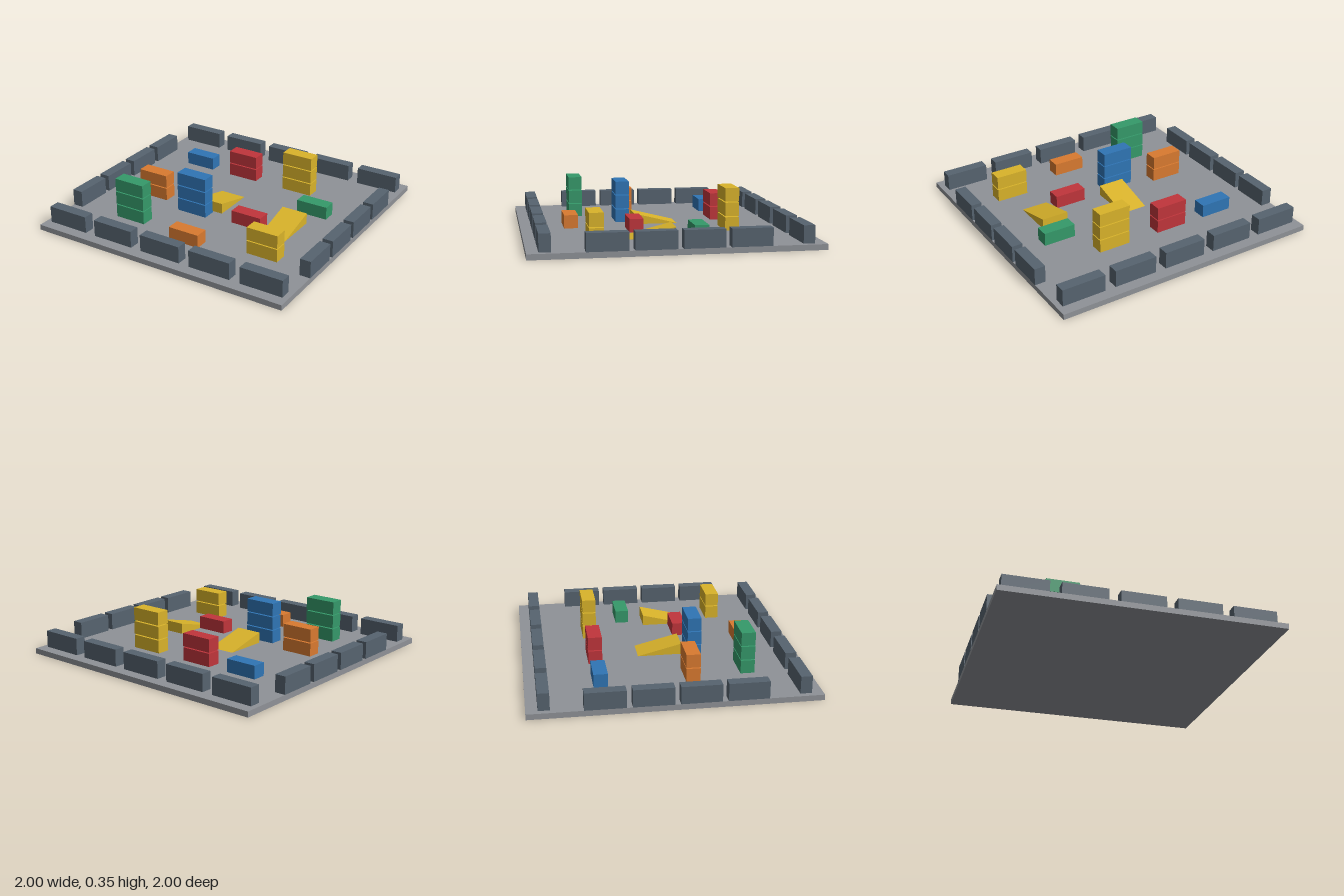
import * as THREE from 'three';

const FLOOR = 0.04;
const material = (color) => new THREE.MeshStandardMaterial({ color, flatShading: true });
const mats = {
  floor: material(0x8f9297),
  wall: material(0x56636f),
  blue: material(0x2f75b5),
  red: material(0xc0353b),
  yellow: material(0xd9b32a),
  green: material(0x35996a),
  orange: material(0xd97a30),
};

export function createModel() {
  const model = new THREE.Group();
  model.name = 'arena';

  const add = (name, geometry, mat, x, y, z, parent = model) => {
    const mesh = new THREE.Mesh(geometry, mat);
    mesh.name = name;
    mesh.position.set(x, y, z);
    parent.add(mesh);
    return mesh;
  };

  // Floor slab
  add('floor', new THREE.BoxGeometry(2, FLOOR, 2), mats.floor, 0, FLOOR / 2, 0);

  // Barriers around the four sides
  const wallHeight = 0.124;
  const wallY = FLOOR + wallHeight / 2;
  const longWall = new THREE.BoxGeometry(0.32, wallHeight, 0.08);
  const sideWall = new THREE.BoxGeometry(0.08, wallHeight, 0.28);
  for (const side of [-1, 1]) {
    for (const x of [-0.8, -0.4, 0, 0.4, 0.8]) {
      add(side > 0 ? 'frontBarrier' : 'backBarrier', longWall, mats.wall, x, wallY, side * 0.88);
    }
    for (const z of [-0.48, -0.16, 0.16, 0.48]) {
      add(side > 0 ? 'leftBarrier' : 'rightBarrier', sideWall, mats.wall, side * 0.96, wallY, z);
    }
  }

  // Container stacks: colour, x, z, number of levels
  const container = new THREE.BoxGeometry(0.24, 0.096, 0.1);
  const stacks = [
    ['blue', -0.56, -0.48, 1],
    ['red', -0.16, -0.48, 2],
    ['yellow', 0.32, -0.48, 3],
    ['green', 0.6, -0.2, 1],
    ['orange', -0.56, 0.16, 2],
    ['blue', -0.16, 0.24, 3],
    ['red', 0.28, 0.2, 1],
    ['green', -0.48, 0.56, 3],
    ['orange', 0.04, 0.64, 1],
    ['yellow', 0.6, 0.52, 2],
  ];
  for (const [color, x, z, levels] of stacks) {
    const stack = new THREE.Group();
    stack.name = `${color}ContainerStack`;
    stack.position.set(x, 0, z);
    for (let i = 0; i < levels; i++) {
      add('container', container, mats[color], 0, 0.096 + i * 0.104, 0, stack);
    }
    model.add(stack);
  }

  // Wedge ramps: side profile extruded across the width, rising toward +z
  const profile = new THREE.Shape([
    new THREE.Vector2(-0.16, 0),
    new THREE.Vector2(0.16, 0),
    new THREE.Vector2(-0.16, 0.08),
  ]);
  const wedge = new THREE.ExtrudeGeometry(profile, { depth: 0.2, bevelEnabled: false });
  wedge.translate(0, 0, -0.1).rotateY(Math.PI / 2);
  add('centreRamp', wedge, mats.yellow, -0.08, FLOOR, 0);
  add('leftRamp', wedge, mats.yellow, 0.52, FLOOR, 0.12).rotation.y = Math.PI;

  return model;
}
